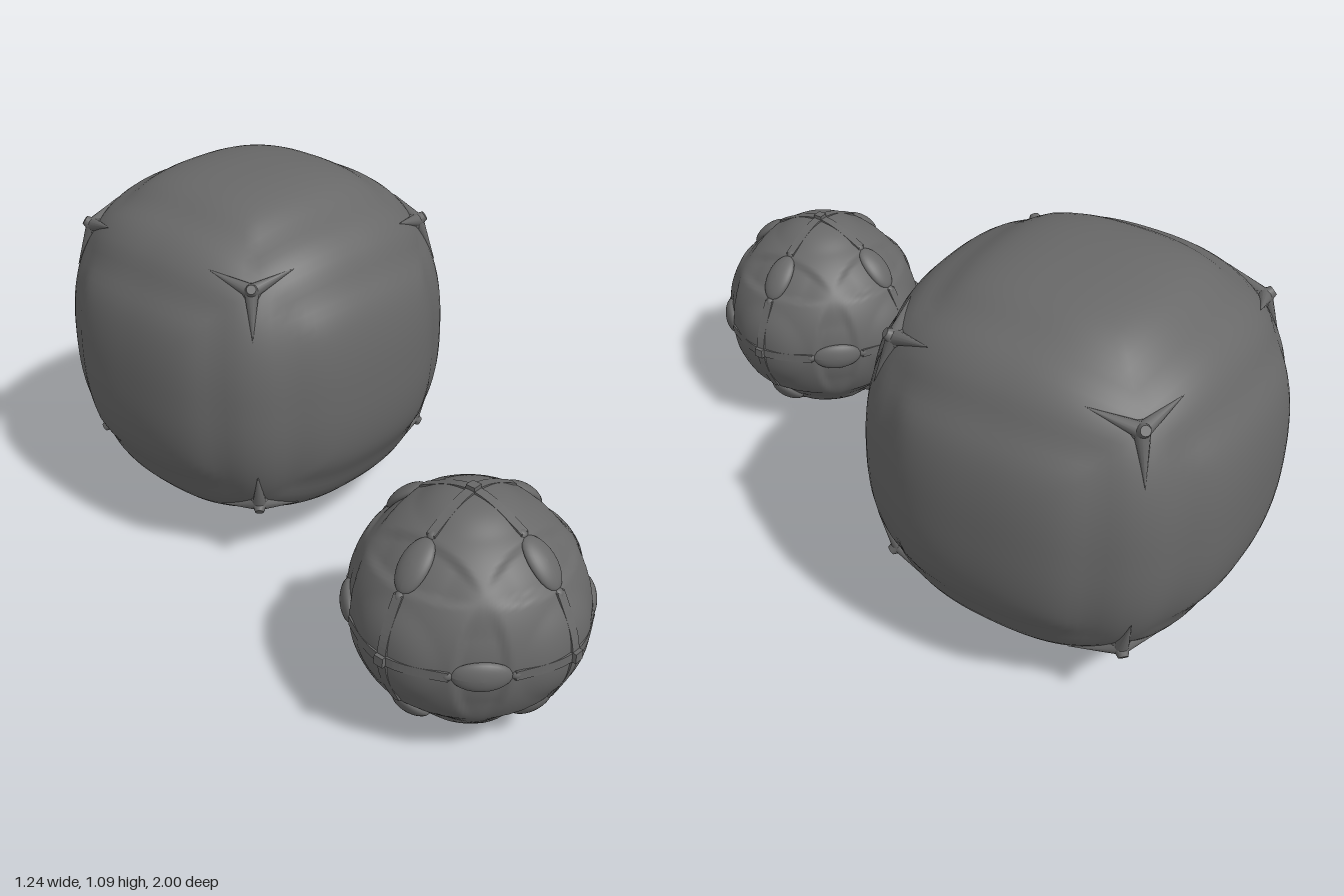
import * as THREE from 'three';
import { mergeVertices } from 'three/addons/utils/BufferGeometryUtils.js';

const material = new THREE.MeshStandardMaterial({ color: 0x686868 });
const smooth = (a, b, v) => THREE.MathUtils.smoothstep(v, a, b);
const sortedAbs = (d) => d.toArray().map(Math.abs).sort((p, q) => p - q);

function add(parent, geometry, name) {
  const mesh = new THREE.Mesh(geometry, material);
  mesh.name = name;
  parent.add(mesh);
  return mesh;
}

// Cube grid projected outwards to a distance given by a rule on the direction
function cubeBall(segments, radius) {
  const box = new THREE.BoxGeometry(2, 2, 2, segments, segments, segments);
  box.deleteAttribute('uv');
  box.deleteAttribute('normal');
  const geometry = mergeVertices(box, 1e-4);
  const pos = geometry.attributes.position;
  const v = new THREE.Vector3();
  for (let i = 0; i < pos.count; i++) {
    v.fromBufferAttribute(pos, i);
    v.set(...v.toArray().map((c) => Math.tan((c * Math.PI) / 4))).normalize();
    v.multiplyScalar(radius(v));
    pos.setXYZ(i, v.x, v.y, v.z);
  }
  geometry.computeVertexNormals();
  return geometry;
}

// Large rounded cube: superellipsoid, slightly flattened between face centres and edges
const POWER = 2.45;
function cubeRadius(d) {
  const [c, b, a] = sortedAbs(d);
  const sum = a ** POWER + b ** POWER + c ** POWER;
  const flat = Math.exp(-(((b / a - 0.66) / 0.15) ** 2));
  return 0.521 * sum ** (-1 / POWER) * (1 - 0.018 * flat);
}

// Small ball: six raised panels with lens-shaped recessed seams between them
function ballRadius(d) {
  const [c, b, a] = sortedAbs(d);
  const seam = smooth(0.53, 0.585, b) * (1 - smooth(0.3, 0.577, c));
  const crown = smooth(0.88, 1, a);
  return 0.308 - 0.01 * seam + 0.013 * crown;
}

function buildLargeCube() {
  const group = new THREE.Group();
  group.name = 'largeRoundedCube';
  add(group, cubeBall(32, cubeRadius), 'largeBody');

  // Three-legged caps on the eight corners
  const up = new THREE.Vector3(0, 1, 0);
  for (const sx of [-1, 1]) for (const sy of [-1, 1]) for (const sz of [-1, 1]) {
    const signs = new THREE.Vector3(sx, sy, sz);
    const out = signs.clone().normalize();
    const corner = new THREE.Group();
    corner.name = 'cornerCap';
    group.add(corner);
    const stud = add(corner, new THREE.CylinderGeometry(0.013, 0.03, 0.05, 12), 'cornerStud');
    stud.position.copy(out).multiplyScalar(0.587);
    stud.quaternion.setFromUnitVectors(up, out);
    for (let axis = 0; axis < 3; axis++) {
      // Tapered leg running along one edge of the cube
      const tip = signs.clone().setComponent(axis, signs.getComponent(axis) * 0.56).normalize();
      tip.multiplyScalar(cubeRadius(tip) + 0.002);
      const start = out.clone().multiplyScalar(0.584);
      const along = tip.clone().sub(start);
      const leg = add(corner, new THREE.ConeGeometry(0.021, along.length(), 12), 'cornerLeg');
      leg.position.copy(start).addScaledVector(along, 0.5);
      leg.quaternion.setFromUnitVectors(up, along.normalize());
    }
  }
  return group;
}

// Ring rib that rises over the panels and sinks beneath the edge pads
function ribGeometry() {
  const shape = new THREE.Shape();
  const limit = THREE.MathUtils.degToRad(31);
  const quarter = Math.PI / 2;
  const steps = 120;
  for (let i = 0; i < steps; i++) {
    const angle = (i / steps) * Math.PI * 2;
    const d = Math.abs(angle - Math.round(angle / quarter) * quarter);
    const r = d < limit ? 0.327 - 0.014 * smooth(0, limit * 0.85, d) : 0.29;
    shape[i ? 'lineTo' : 'moveTo'](r * Math.cos(angle), r * Math.sin(angle));
  }
  const hole = new THREE.Path();
  hole.absarc(0, 0, 0.27, 0, Math.PI * 2, true);
  shape.holes.push(hole);
  const geometry = new THREE.ExtrudeGeometry(shape, { depth: 0.026, bevelEnabled: false, curveSegments: 32 });
  return geometry.translate(0, 0, -0.013);
}

// Oval pad bent to follow the ball, long in x and bulging in y
function padGeometry() {
  const geometry = new THREE.SphereGeometry(1, 24, 16);
  geometry.scale(0.074, 0.017, 0.042);
  const pos = geometry.attributes.position;
  for (let i = 0; i < pos.count; i++) {
    const x = pos.getX(i), z = pos.getZ(i);
    pos.setY(i, pos.getY(i) + 0.305 - (x * x + z * z) / 0.62);
  }
  geometry.computeVertexNormals();
  return geometry;
}

function buildSmallBall() {
  const group = new THREE.Group();
  group.name = 'smallPaddedBall';
  add(group, cubeBall(48, ballRadius), 'smallBody');

  const rib = ribGeometry();
  const pad = padGeometry();
  const flare = new THREE.SphereGeometry(0.016, 10, 8);
  const turns = [[0, 0, 0], [Math.PI / 2, 0, 0], [0, Math.PI / 2, 0]];
  for (const turn of turns) {
    const ring = new THREE.Group();
    ring.name = 'ribRing';
    ring.rotation.set(...turn);
    group.add(ring);
    add(ring, rib, 'rib');
    for (let k = 0; k < 4; k++) {
      // Pad where the ring crosses a cube edge
      add(ring, pad, 'edgePad').rotation.z = Math.PI / 4 + (k * Math.PI) / 2;
      // Slightly flared ends of the rib bar
      for (const s of [-1, 1]) {
        const angle = (k * Math.PI) / 2 + s * THREE.MathUtils.degToRad(29.5);
        add(ring, flare, 'ribEnd').position.set(0.299 * Math.cos(angle), 0.299 * Math.sin(angle), 0);
      }
    }
  }

  // Small square studs where ribs cross
  for (let axis = 0; axis < 3; axis++) for (const s of [-1, 1]) {
    const stud = add(group, new THREE.BoxGeometry(0.027, 0.027, 0.027), 'crossingStud');
    stud.position.setComponent(axis, s * 0.3235);
  }
  return group;
}

export function createModel() {
  const model = new THREE.Group();
  model.name = 'roundedCubeAndBall';
  const cube = buildLargeCube();
  cube.position.set(0.098, 0.57, -0.48);
  const ball = buildSmallBall();
  ball.position.set(-0.283, 0.337, 0.66);
  model.add(cube, ball);
  return model;
}
